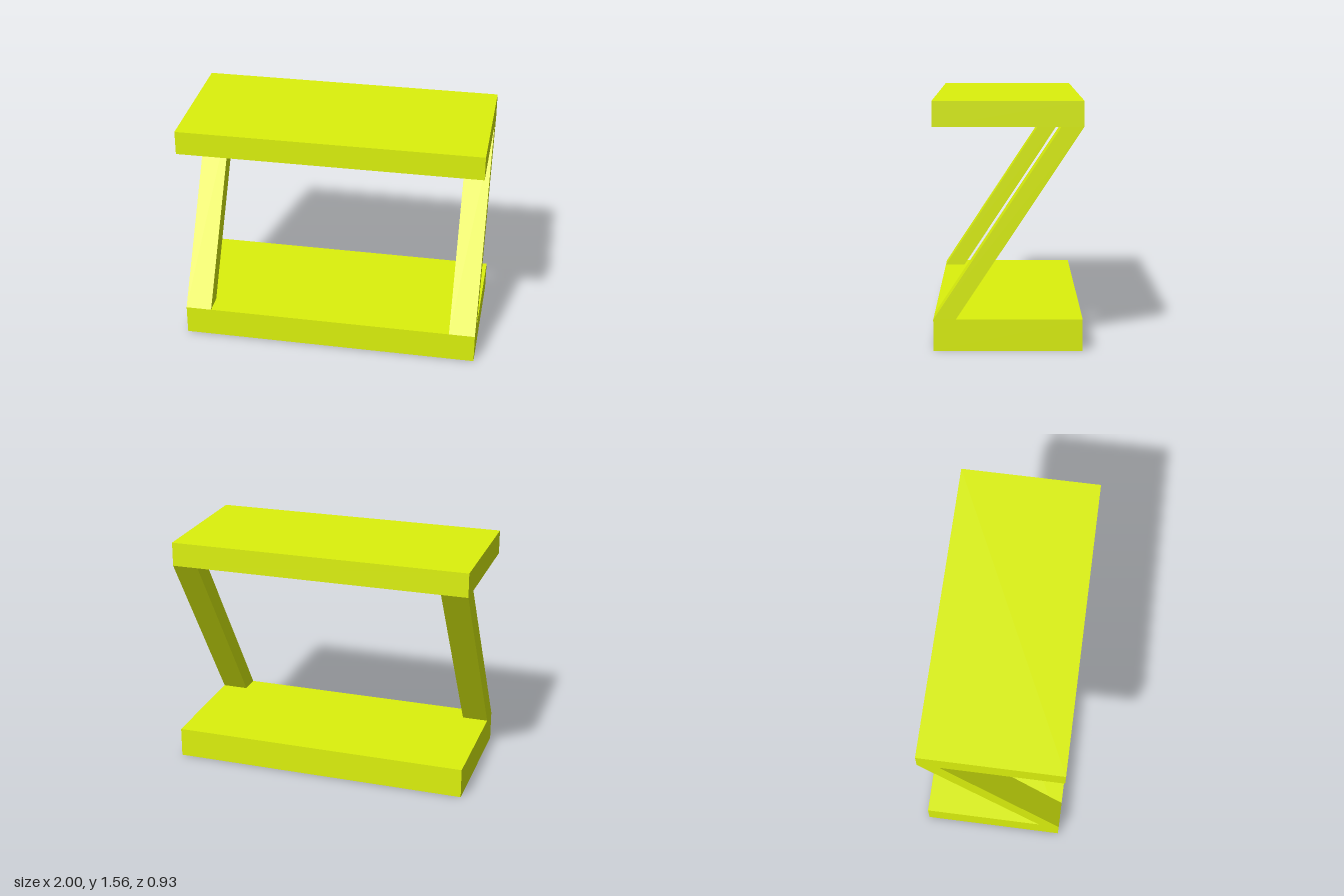
import * as THREE from 'three';

const WIDTH = 2, DEPTH = 0.93;
const BASE_H = 0.2, TOP_Y = 1.4, TOP_H = 0.16;
const LEG_W = 0.175, LEG_D = 0.14;

export function createModel() {
  const group = new THREE.Group();
  const material = new THREE.MeshStandardMaterial({ color: 0xdcf20c });

  const add = (name, geometry, x, y) => {
    const mesh = new THREE.Mesh(geometry, material);
    mesh.name = name;
    mesh.position.set(x, y, 0);
    group.add(mesh);
  };

  // Horizontal slabs
  add('base', new THREE.BoxGeometry(WIDTH, BASE_H, DEPTH), 0, BASE_H / 2);
  add('tableTop', new THREE.BoxGeometry(WIDTH, TOP_H, DEPTH), 0, TOP_Y + TOP_H / 2);

  // Slanted legs: boxes sheared from the base's front edge to the top's back edge
  const legH = TOP_Y - BASE_H;
  const slope = (DEPTH - LEG_D) / legH;
  const shear = new THREE.Matrix4().set(
    1, 0, 0, 0,
    0, 1, 0, 0,
    0, -slope, 1, 0,
    0, 0, 0, 1
  );
  for (const [name, side] of [['leftLeg', 1], ['rightLeg', -1]]) {
    const leg = new THREE.BoxGeometry(LEG_W, legH, LEG_D).applyMatrix4(shear);
    leg.computeVertexNormals();
    add(name, leg, side * (WIDTH - LEG_W) / 2, BASE_H + legH / 2);
  }

  return group;
}
